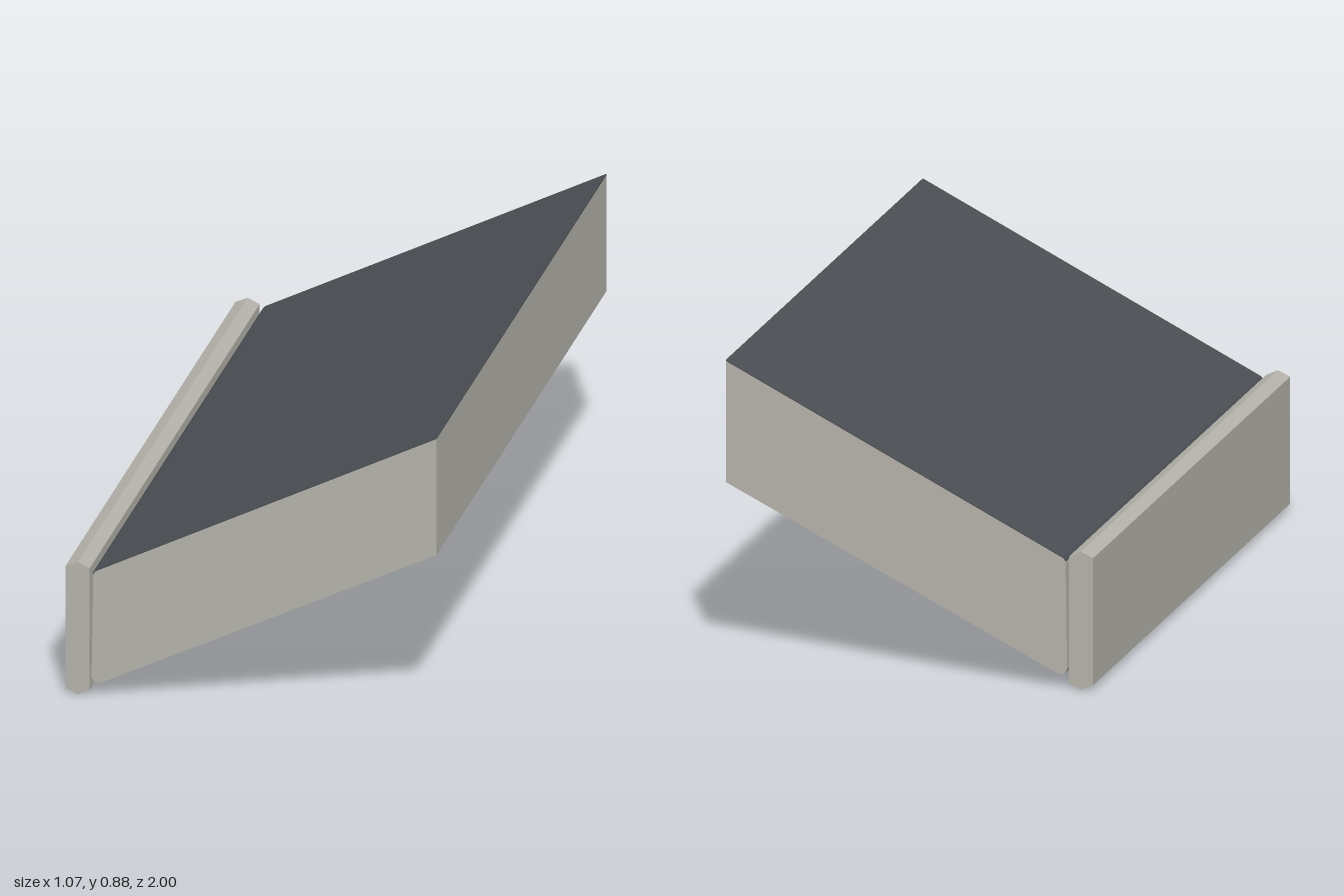
import * as THREE from 'three';

const LENGTH = 2;

// Prism along z with the given x/y cross-section (counter-clockwise)
function prism(name, points, material) {
  const shape = new THREE.Shape(points.map(([x, y]) => new THREE.Vector2(x, y)));
  const geometry = new THREE.ExtrudeGeometry(shape, { depth: LENGTH, bevelEnabled: false });
  geometry.translate(0, 0, -LENGTH / 2);
  const mesh = new THREE.Mesh(geometry, material);
  mesh.name = name;
  return mesh;
}

export function createModel() {
  const concrete = new THREE.MeshStandardMaterial({ color: 0xb4b2aa });
  concrete.name = 'concrete';
  const asphalt = new THREE.MeshStandardMaterial({ color: 0x4b4e53 });
  asphalt.name = 'asphalt';

  const group = new THREE.Group();
  group.name = 'ramp';

  // Upright curb with shallow ridges at top and bottom
  group.add(prism('curb', [
    [-0.537, 0.016], [-0.501, 0], [-0.467, 0.016],
    [-0.467, 0.386], [-0.501, 0.402], [-0.537, 0.386],
  ], concrete));

  // Sloping slab with a clipped lower corner
  group.add(prism('slab', [
    [-0.461, 0.058], [-0.453, 0.042], [-0.432, 0.043],
    [0.537, 0.526], [0.537, 0.879], [-0.45, 0.379], [-0.456, 0.37],
  ], concrete));

  // Thin dark surface on the slope
  group.add(prism('rampSurface', [
    [-0.456, 0.37], [-0.45, 0.379], [0.537, 0.879], [0.537, 0.882], [-0.45, 0.382], [-0.457, 0.375],
  ], asphalt));

  return group;
}
